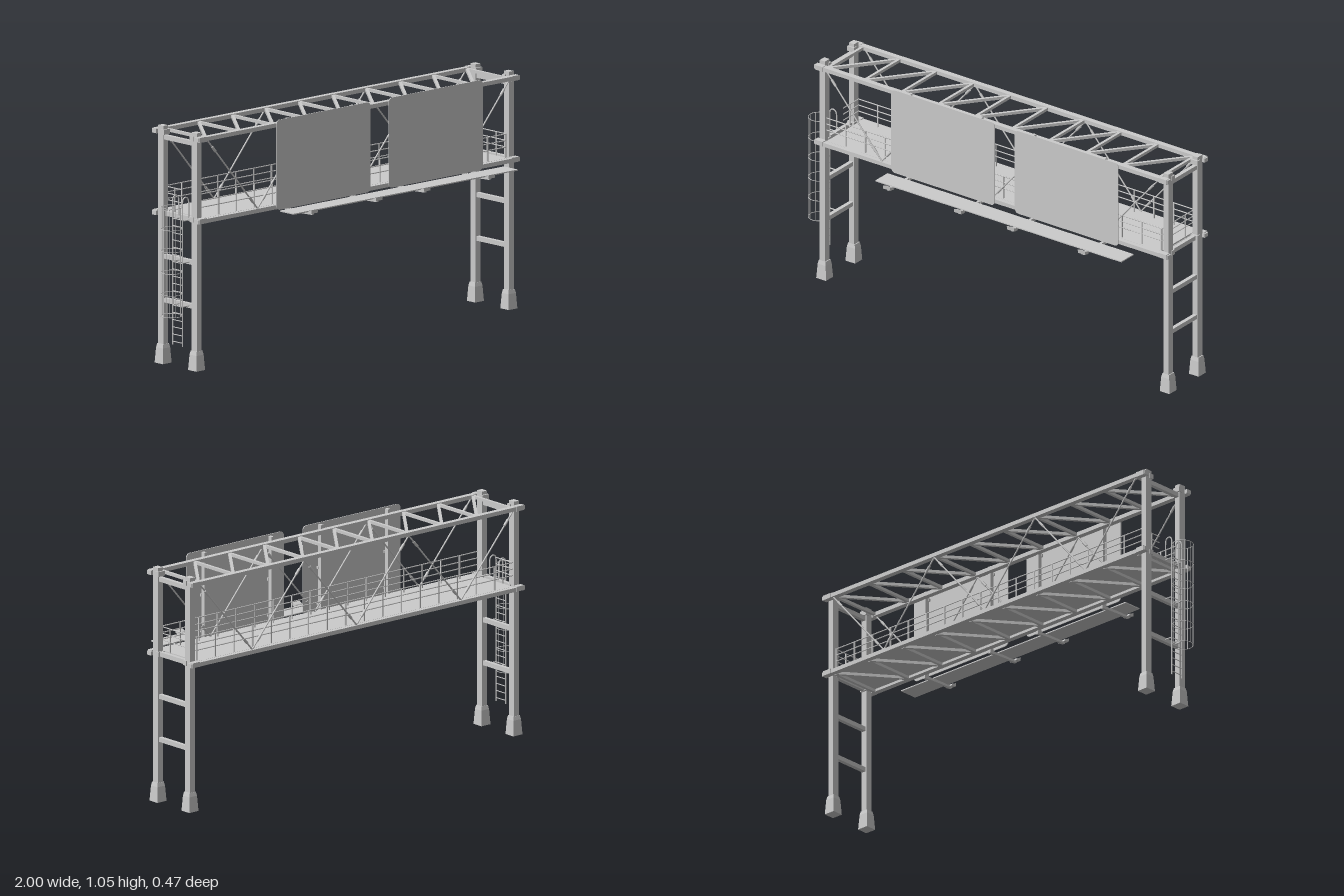
import * as THREE from 'three';

const mat = new THREE.MeshStandardMaterial({ color: 0xcccccc });
const V = (x, y, z) => new THREE.Vector3(x, y, z);
const MX = 0.05, MZ = -0.0885;          // centre of the gantry frame
const CHORD_Z = [0.045, -0.222];
const POST_X = [-0.87, 0.97], POST_Z = [0.0165, -0.1935];

function add(parent, name, geo, x = 0, y = 0, z = 0) {
  const m = new THREE.Mesh(geo, mat);
  m.name = name;
  m.position.set(x, y, z);
  parent.add(m);
  return m;
}
const box = (p, name, w, h, d, x, y, z) => add(p, name, new THREE.BoxGeometry(w, h, d), x, y, z);

// square beam between two points
function beam(p, name, a, b, w, h = w) {
  const m = box(p, name, w, h, a.distanceTo(b), 0, 0, 0);
  m.position.copy(a).lerp(b, 0.5);
  m.lookAt(b);
  return m;
}
// round rod between two points
function rod(p, name, a, b, r, sides = 6) {
  const m = add(p, name, new THREE.CylinderGeometry(r, r, a.distanceTo(b), sides));
  m.position.copy(a).lerp(b, 0.5);
  m.quaternion.setFromUnitVectors(V(0, 1, 0), b.clone().sub(a).normalize());
  return m;
}
// four-sided tapered block standing on y
function frustum(p, name, top, bottom, h, x, y, z) {
  const g = new THREE.CylinderGeometry(top / Math.SQRT2, bottom / Math.SQRT2, h, 4).toNonIndexed();
  g.rotateY(Math.PI / 4);
  g.computeVertexNormals();
  return add(p, name, g, x, y + h / 2, z);
}
function group(parent, name) {
  const g = new THREE.Group();
  g.name = name;
  parent.add(g);
  return g;
}

function towers(root) {
  const g = group(root, 'supportTowers');
  for (const x of POST_X) {
    for (const z of POST_Z) {
      frustum(g, 'footing', 0.043, 0.052, 0.068, x, 0, z);
      frustum(g, 'footingCollar', 0.036, 0.043, 0.017, x, 0.068, z);
      box(g, 'post', 0.028, 0.96, 0.033, x, 0.564, z);
      // collars fixing the chords to the post
      const s = z > MZ ? 1 : -1;
      for (const y of [1.018, 0.66]) {
        box(g, 'chordClamp', 0.042, 0.022, 0.024, x, y, z + s * 0.031);
        box(g, 'clampStrap', 0.036, 0.022, 0.02, x, y, z - s * 0.014);
      }
    }
    for (const y of [0.278, 0.47, 0.66, 0.994])
      box(g, 'crossBeam', 0.018, 0.02, 0.19, x, y, MZ);
  }
}

function truss(root) {
  const g = group(root, 'truss');
  const x0 = -0.837, n = 9, step = 1.777 / n;
  for (const y of [1.018, 0.658]) {
    for (const z of CHORD_Z) box(g, 'chord', 1.894, 0.018, 0.025, MX, y, z);
    // horizontal lattice
    const ly = y > 0.8 ? 1.018 : 0.653;
    for (let i = 0; i <= n; i++) {
      const x = x0 + i * step;
      beam(g, 'latticeStrut', V(x, ly, 0.035), V(x, ly, -0.212), 0.013);
      if (i < n) beam(g, 'latticeDiagonal', V(x + 0.006, ly, 0.03), V(x + step - 0.006, ly, -0.207), 0.013);
    }
  }
  // side bracing rods with end fittings
  for (const z of [0.048, -0.225]) {
    for (let i = 0; i < 6; i++) {
      const a = V(x0 + i * 0.2962, i % 2 ? 0.667 : 1.01, z);
      const b = V(x0 + (i + 1) * 0.2962, i % 2 ? 1.01 : 0.667, z);
      rod(g, 'braceRod', a, b, 0.0035);
      for (const t of [0.13, 0.87])
        rod(g, 'braceFitting', a.clone().lerp(b, t - 0.035), a.clone().lerp(b, t + 0.035), 0.006);
    }
  }
  box(g, 'deck', 1.79, 0.007, 0.25, MX, 0.664, MZ);
}

function railings(root) {
  const g = group(root, 'railings');
  const levels = [0.772, 0.743, 0.714];
  const xa = -0.852, xb = 0.945;
  for (const z of [0.026, -0.204]) {
    for (const y of levels) rod(g, 'handrail', V(xa, y, z), V(xb, y, z), 0.0025);
    for (let i = 0; i < 17; i++) {
      const x = -0.75 + i * 0.1057;
      box(g, 'railPost', 0.005, 0.108, 0.005, x, 0.718, z);
    }
  }
  // end rails, with an opening on the ladder side
  for (const y of levels) {
    rod(g, 'endRail', V(xb, y, 0.026), V(xb, y, -0.204), 0.0025);
    rod(g, 'endRail', V(xa, y, -0.095), V(xa, y, -0.204), 0.0025);
  }
  for (const z of [-0.035, -0.14]) box(g, 'endRailPost', 0.005, 0.108, 0.005, xb, 0.718, z);
  box(g, 'endRailPost', 0.005, 0.108, 0.005, xa, 0.718, -0.14);
}

function ladder(root) {
  const g = group(root, 'ladder');
  const lx = -0.917, zs = [-0.022, -0.084], cx = -0.953, cz = -0.053, r = 0.0455;
  for (const z of zs) {
    rod(g, 'ladderStringer', V(lx, 0.103, z), V(lx, 0.735, z), 0.003);
    const arch = new THREE.CatmullRomCurve3([
      V(lx, 0.735, z), V(lx + 0.005, 0.751, z), V(lx + 0.018, 0.757, z),
      V(lx + 0.032, 0.75, z), V(lx + 0.036, 0.735, z), V(lx + 0.036, 0.665, z)]);
    add(g, 'ladderGrab', new THREE.TubeGeometry(arch, 20, 0.003, 6));
    for (const y of [0.278, 0.47, 0.655]) rod(g, 'ladderBracket', V(lx, y, z), V(-0.87, y, z), 0.003);
  }
  for (let i = 0; i < 18; i++) {
    const y = 0.118 + i * 0.0318;
    rod(g, 'rung', V(lx, y, zs[0]), V(lx, y, zs[1]), 0.0022);
  }
  // safety cage
  const hoop = new THREE.TorusGeometry(r, 0.0016, 5, 32).rotateX(Math.PI / 2);
  for (let i = 0; i < 6; i++) add(g, 'cageHoop', hoop, cx, 0.24 + i * 0.0954, cz);
  for (let i = 0; i < 7; i++) {
    const a = Math.PI + (i - 3) * 0.62;
    const x = cx + r * Math.cos(a), z = cz + r * Math.sin(a);
    rod(g, 'cageBar', V(x, 0.24, z), V(x, 0.717, z), 0.0015, 5);
  }
}

function signs(root) {
  const g = group(root, 'signs');
  const w = 0.554, h = 0.396, c = 0.02;
  const s = new THREE.Shape();
  s.moveTo(-w / 2 + c, -h / 2);
  s.absarc(w / 2 - c, -h / 2 + c, c, -Math.PI / 2, 0);
  s.absarc(w / 2 - c, h / 2 - c, c, 0, Math.PI / 2);
  s.absarc(-w / 2 + c, h / 2 - c, c, Math.PI / 2, Math.PI);
  s.absarc(-w / 2 + c, -h / 2 + c, c, Math.PI, Math.PI * 1.5);
  const panel = new THREE.ExtrudeGeometry(s, { depth: 0.004, bevelEnabled: false, curveSegments: 6 });
  for (const x of [-0.186, 0.476]) add(g, 'signPanel', panel, x, 0.85, 0.081);

  // lamp head profile in (z, y)
  const lamp = new THREE.Shape([[0.206, 0.646], [0.232, 0.65], [0.234, 0.666], [0.21, 0.656]]
    .map(([z, y]) => new THREE.Vector2(-z, y)));
  const lampGeo = new THREE.ExtrudeGeometry(lamp, { depth: 0.038, bevelEnabled: false });
  lampGeo.translate(0, 0, -0.019).rotateY(Math.PI / 2).scale(-1, 1, -1);
  lampGeo.rotateY(Math.PI);
  lampGeo.computeBoundingBox();
  if (lampGeo.boundingBox.max.z < 0) lampGeo.rotateY(Math.PI);

  for (const x of [-0.377, 0.003, 0.286, 0.666]) {
    box(g, 'signUpright', 0.014, 0.41, 0.02, x, 0.838, 0.065);
    for (const y of [0.69, 0.85, 1.01]) box(g, 'signClip', 0.02, 0.012, 0.008, x, y, 0.078);
    beam(g, 'lampArm', V(x, 0.64, 0.053), V(x, 0.648, 0.222), 0.012, 0.012);
    add(g, 'lampHead', lampGeo, x, 0, 0);
  }
  box(g, 'lampWalkway', 1.318, 0.005, 0.088, 0.195, 0.653, 0.153);
}

export function createModel() {
  const root = new THREE.Group();
  root.name = 'signGantry';
  towers(root);
  truss(root);
  railings(root);
  ladder(root);
  signs(root);
  return root;
}
